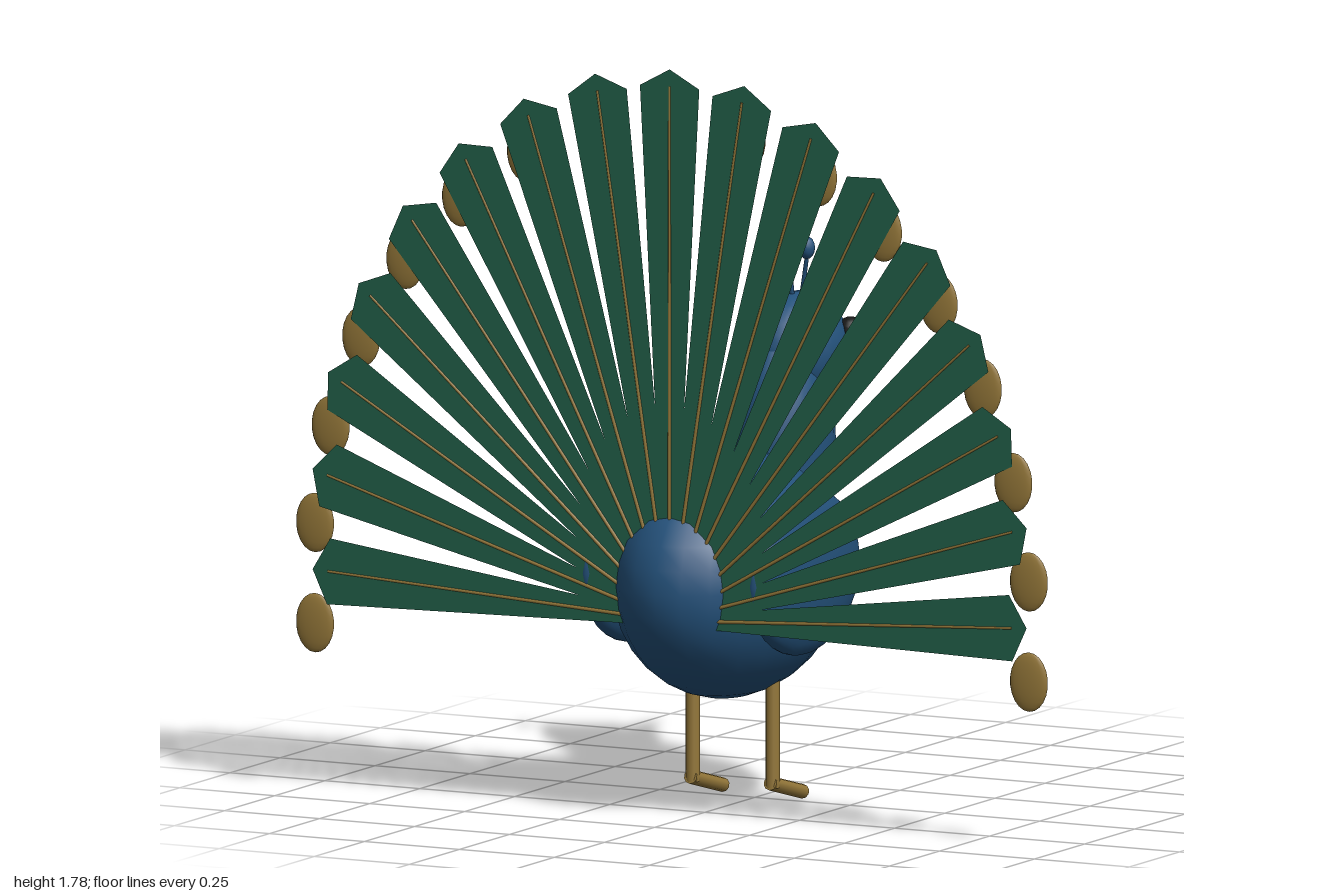
import * as THREE from 'three';

const mat = (color, extra = {}) => new THREE.MeshStandardMaterial({ color, ...extra });

export function createModel() {
  const root = new THREE.Group();
  const blue = mat(0x24527c), gold = mat(0x95783a), black = mat(0x161616);
  const green = mat(0x226049, { side: THREE.DoubleSide });

  function add(name, geometry, material, parent = root) {
    const mesh = new THREE.Mesh(geometry, material);
    mesh.name = name;
    parent.add(mesh);
    return mesh;
  }
  // Ellipsoid from a centre and three radii
  function ellipsoid(name, centre, radii, material, parent, seg = 24) {
    const mesh = add(name, new THREE.SphereGeometry(1, seg, Math.round(seg * 0.67)), material, parent);
    mesh.position.set(...centre);
    mesh.scale.set(...radii);
    return mesh;
  }
  // Round rod between two points
  function rod(name, a, b, r0, r1, material, parent, seg = 10) {
    const from = new THREE.Vector3(...a), to = new THREE.Vector3(...b);
    const dir = to.clone().sub(from);
    const mesh = add(name, new THREE.CylinderGeometry(r1, r0, dir.length(), seg), material, parent);
    mesh.position.copy(from).add(to).multiplyScalar(0.5);
    mesh.quaternion.setFromUnitVectors(new THREE.Vector3(0, 1, 0), dir.normalize());
    return mesh;
  }

  // Body, neck and head
  ellipsoid('body', [0, 0.55, 0.128], [0.24, 0.29, 0.372], blue);
  ellipsoid('neck', [0, 0.8, -0.14], [0.12, 0.29, 0.14], blue);
  ellipsoid('head', [0, 1.03, -0.21], [0.12, 0.138, 0.145], blue);
  const beak = add('beak', new THREE.ConeGeometry(0.042, 0.18, 12), gold);
  beak.position.set(0, 1.0, -0.41);
  beak.rotation.x = -Math.PI / 2;

  // Paired parts
  for (const s of [1, -1]) {
    const side = s > 0 ? 'left' : 'right';
    ellipsoid(side + 'Wing', [s * 0.22, 0.575, 0.173], [0.06, 0.193, 0.257], blue);
    ellipsoid(side + 'Eye', [s * 0.108, 1.075, -0.273], [0.032, 0.032, 0.032], black, root, 16);
    const leg = new THREE.Group();
    leg.name = side + 'Leg';
    root.add(leg);
    const x = s * 0.105;
    rod('shin', [x, 0.34, 0.11], [x, 0.05, 0.11], 0.017, 0.017, gold, leg);
    rod('foot', [x, 0.062, 0.122], [x, 0.02, -0.04], 0.017, 0.017, gold, leg);
  }

  // Crest
  const crest = new THREE.Group();
  crest.name = 'crest';
  root.add(crest);
  for (const i of [-1, 0, 1]) {
    rod('crestStem', [i * 0.02, 1.14, -0.19], [i * 0.05, 1.27, -0.168], 0.006, 0.005, blue, crest, 8);
    ellipsoid('crestTip', [i * 0.05, 1.28, -0.165], [0.019, 0.027, 0.019], blue, crest, 12);
  }

  // Tail fan: feathers run from one root to tips on an ellipse
  const fan = new THREE.Group();
  fan.name = 'tailFan';
  fan.position.z = 0.425;
  root.add(fan);
  const base = new THREE.Vector2(0, 0.48);
  for (let k = -8; k <= 8; k++) {
    const a = THREE.MathUtils.degToRad(k * 12);
    const tip = new THREE.Vector2(0.945 * Math.sin(a), 0.65 + 1.13 * Math.cos(a));
    const d = tip.clone().sub(base);
    const len = d.length();

    const feather = new THREE.Group();
    feather.name = 'tailFeather';
    feather.position.set(base.x, base.y, 0);
    feather.rotation.z = -Math.atan2(d.x, d.y);
    fan.add(feather);
    const vane = new THREE.Shape();
    vane.moveTo(-0.012, 0);
    vane.lineTo(0.012, 0);
    vane.lineTo(0.078, len - 0.042);
    vane.lineTo(0, len);
    vane.lineTo(-0.078, len - 0.042);
    add('vane', new THREE.ShapeGeometry(vane), green, feather);
    rod('quill', [0, 0, 0], [0, len - 0.04, 0], 0.005, 0.003, gold, feather, 6);

    // Eyespot hangs upright just below the tip, on the bird's forward side
    ellipsoid('eyespotRing', [tip.x, tip.y - 0.128, -0.012], [0.05, 0.07, 0.011], gold, fan, 16);
    ellipsoid('eyespotCentre', [tip.x, tip.y - 0.128, -0.02], [0.029, 0.042, 0.009], blue, fan, 16);
  }
  return root;
}
